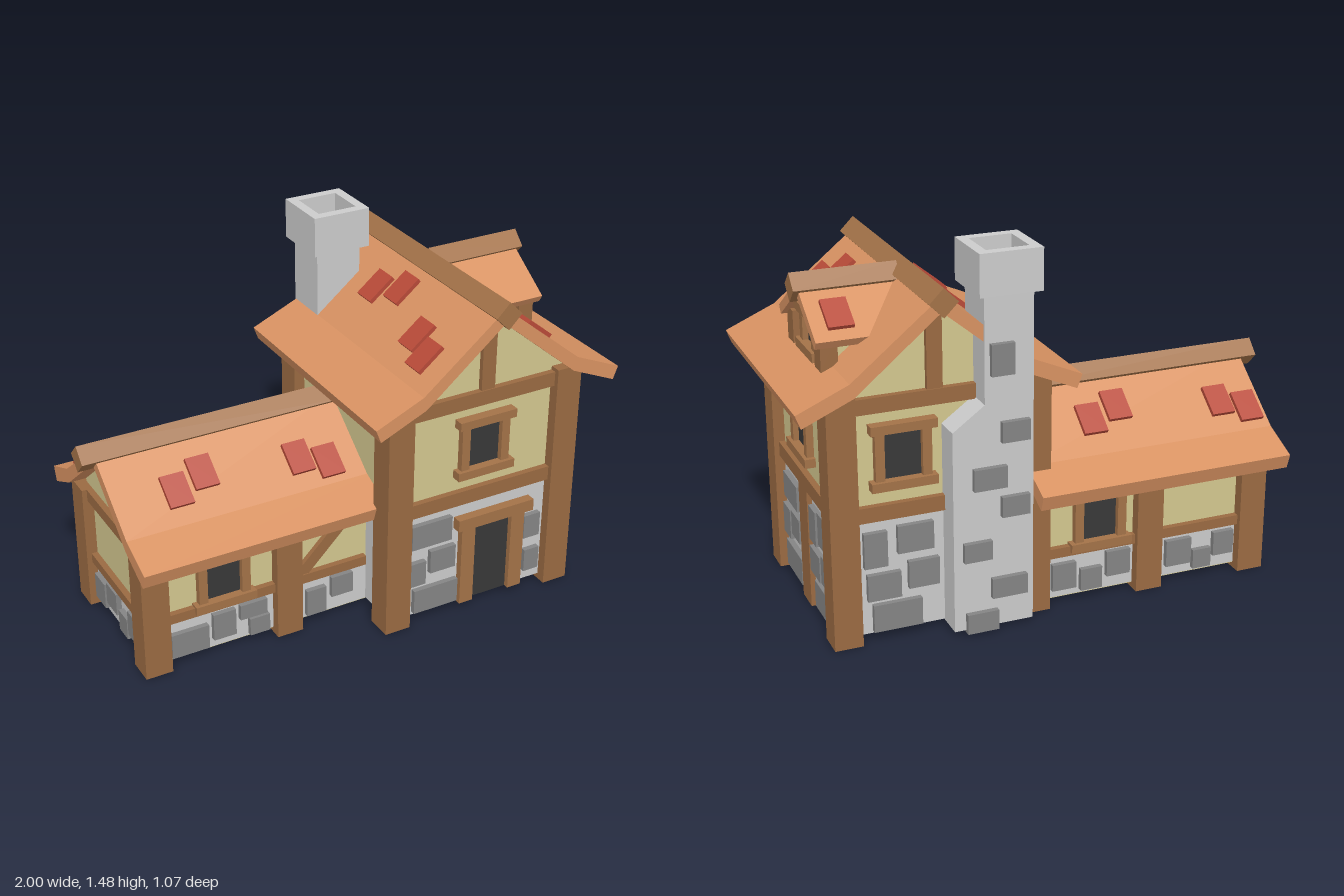
import * as THREE from 'three';

const mat = (color) => new THREE.MeshStandardMaterial({ color, flatShading: true });
const wood = mat(0x9a6a42), frameWood = mat(0xa37248), roofMat = mat(0xd89262), tileMat = mat(0xb84a38);
const plaster = mat(0xd3c78f), stone = mat(0xc8c8c8), darkStone = mat(0x848484), glass = mat(0x383838);

function add(parent, name, geometry, material) {
  const mesh = new THREE.Mesh(geometry, material);
  mesh.name = name;
  parent.add(mesh);
  return mesh;
}

// Box given by its limits on each axis
function box(parent, name, material, x0, x1, y0, y1, z0, z1) {
  const m = add(parent, name, new THREE.BoxGeometry(x1 - x0, y1 - y0, z1 - z0), material);
  m.position.set((x0 + x1) / 2, (y0 + y1) / 2, (z0 + z1) / 2);
  return m;
}

// Polygon in x/y extruded from z0 to z1
function prism(parent, name, material, pts, z0, z1) {
  const shape = new THREE.Shape(pts.map(([x, y]) => new THREE.Vector2(x, y)));
  const g = new THREE.ExtrudeGeometry(shape, { depth: z1 - z0, bevelEnabled: false });
  return add(parent, name, g.translate(0, 0, z0), material);
}

function group(parent, name, rotY = 0, x = 0, z = 0) {
  const g = new THREE.Group();
  g.name = name;
  g.rotation.y = rotY;
  g.position.set(x, 0, z);
  parent.add(g);
  return g;
}

// Framed window: u is the centre, y0..y1 the opening, d the wall's outward distance
function windowAt(side, u, y0, y1, d, half = 0.072) {
  const w = group(side, 'window');
  box(w, 'windowPane', glass, u - half, u + half, y0, y1, d - 0.02, d + 0.006);
  for (const s of [-1, 1]) {
    const c = u + s * (half + 0.018);
    box(w, 'windowJamb', frameWood, c - 0.018, c + 0.018, y0, y1, d - 0.02, d + 0.028);
  }
  for (const y of [y0 - 0.035, y1])
    box(w, 'windowRail', frameWood, u - half - 0.055, u + half + 0.055, y, y + 0.035, d - 0.02, d + 0.042);
}

// Deep stones set into a wall, each [u0, u1, y0, y1]
function stones(side, d, list) {
  for (const [a, b, y0, y1] of list) box(side, 'wallStone', darkStone, Math.min(a, b), Math.max(a, b), y0, y1, d - 0.09, d + 0.022);
}

// Gable roof along local z: top and under are half profiles from ridge to eave
function roof(parent, name, top, under, z0, z1, beam0, beam1, beamY) {
  const flip = ([x, y]) => [-x, y];
  const pts = [...[...top].reverse(), ...top.slice(1).map(flip),
    ...[...under].reverse().map(flip), ...under.slice(1)];
  prism(parent, name, roofMat, pts, z0, z1);
  const b = box(parent, 'ridgeBeam', frameWood, -0.039, 0.039, beamY - 0.039, beamY + 0.039, beam0, beam1);
  b.rotation.z = Math.PI / 4;
}

// Loose tiles lying on the upper slope, each [across, along]
function tiles(parent, top, list) {
  const slope = (top[0][1] - top[1][1]) / top[1][0];
  for (const [x, z] of list) {
    const t = add(parent, 'roofTile', new THREE.BoxGeometry(0.13, 0.03, 0.097), tileMat);
    t.position.set(x, top[0][1] - slope * Math.abs(x) + 0.002, z);
    t.rotation.z = -Math.sign(x) * Math.atan(slope);
  }
}

function createTower(root) {
  const t = group(root, 'tower');
  prism(t, 'plasterWalls', plaster, [[0.065, 0.18], [0.835, 0.18], [0.835, 0.98], [0.795, 1.02], [0.465, 1.3], [0.135, 1.02], [0.065, 0.98]], -0.365, 0.405);
  for (const x of [0.02, 0.77]) for (const z of [-0.41, 0.34])
    box(t, 'cornerPost', wood, x, x + 0.11, 0, 0.98, z, z + 0.11);
  box(t, 'sidePost', wood, 0.75, 0.86, 0, 0.49, -0.035, 0.075);

  const front = group(t, 'towerFront'), back = group(t, 'towerBack', Math.PI);
  const right = group(t, 'towerLeftSide', Math.PI / 2), left = group(t, 'towerRightSide', -Math.PI / 2);
  for (const [s, a, b, d] of [[front, 0.12, 0.78, 0.405], [back, -0.78, -0.12, 0.365], [right, -0.35, 0.31, 0.835], [left, -0.31, 0.35, -0.065]]) {
    box(s, 'stonePanel', stone, a, b, 0.025, 0.49, d - 0.03, d + 0.004);
    box(s, 'middleBeam', wood, a, b, 0.485, 0.545, d - 0.03, d + 0.025);
    box(s, 'upperBeam', wood, a, b, 0.905, 0.965, d - 0.03, d + 0.025);
  }
  box(front, 'gablePost', wood, 0.435, 0.495, 0.96, 1.28, 0.385, 0.425);
  box(back, 'gablePost', wood, -0.495, -0.435, 0.96, 1.28, 0.345, 0.385);
  windowAt(front, 0.4625, 0.64, 0.825, 0.405);
  windowAt(back, -0.59, 0.64, 0.825, 0.365);
  windowAt(right, -0.03, 0.64, 0.82, 0.835);

  // Door
  box(front, 'door', glass, 0.43, 0.6, 0.025, 0.375, 0.36, 0.416);
  for (const x of [0.368, 0.6]) box(front, 'doorJamb', frameWood, x, x + 0.062, 0.025, 0.375, 0.36, 0.438);
  box(front, 'doorLintel', frameWood, 0.345, 0.695, 0.375, 0.425, 0.36, 0.449);

  stones(front, 0.409, [[0.145, 0.325, 0.34, 0.445], [0.23, 0.345, 0.21, 0.31], [0.14, 0.21, 0.17, 0.275],
    [0.16, 0.36, 0.04, 0.145], [0.67, 0.745, 0.235, 0.34], [0.68, 0.75, 0.075, 0.175]]);
  stones(right, 0.839, [[-0.295, -0.11, 0.335, 0.44], [-0.32, -0.225, 0.17, 0.295], [-0.205, -0.095, 0.205, 0.305],
    [-0.295, -0.08, 0.035, 0.145], [0.055, 0.14, 0.3, 0.44], [0.17, 0.27, 0.325, 0.455],
    [0.05, 0.175, 0.165, 0.27], [0.195, 0.29, 0.175, 0.29], [0.1, 0.28, 0.035, 0.145]]);
  stones(back, 0.369, [[-0.75, -0.66, 0.3, 0.44], [-0.62, -0.48, 0.34, 0.45], [-0.74, -0.61, 0.165, 0.27],
    [-0.58, -0.46, 0.19, 0.3], [-0.72, -0.53, 0.035, 0.145]]);

  const r = group(t, 'towerRoof', 0, 0.464);
  const top = [[0, 1.335], [0.342, 1.058], [0.54, 0.972]];
  roof(r, 'roofSlab', top, [[0, 1.275], [0.328, 1.003], [0.52, 0.919]], -0.468, 0.515, -0.49, 0.538, 1.315);
  tiles(r, top, [[-0.165, -0.13], [-0.125, -0.003], [-0.21, 0.253], [-0.247, 0.365], [0.133, 0.297], [0.197, 0.407]]);
}

function createDormer(root) {
  const d = group(root, 'dormer', Math.PI / 2, 0, -0.061);
  prism(d, 'dormerWalls', plaster, [[-0.18, 1.02], [0.18, 1.02], [0.18, 1.165], [0, 1.285], [-0.18, 1.165]], 0.55, 0.81);
  for (const s of [-1, 1]) box(d, 'dormerPost', wood, s * 0.173 - 0.037, s * 0.173 + 0.037, 1.04, 1.165, 0.785, 0.85);
  windowAt(d, 0, 1.077, 1.187, 0.81, 0.053);
  const top = [[0, 1.32], [0.239, 1.162]];
  roof(d, 'dormerRoof', top, [[0, 1.275], [0.22, 1.132]], 0.49, 0.872, 0.49, 0.895, 1.3);
  tiles(d, top, [[0.145, 0.765]]);
}

function createWing(root) {
  const w = group(root, 'wing');
  const shell = group(w, 'wingShell', Math.PI / 2, 0, -0.075);
  prism(shell, 'plasterWalls', plaster, [[-0.29, 0.02], [0.29, 0.02], [0.29, 0.55], [0, 0.8], [-0.29, 0.55]], -0.87, 0.2);
  box(w, 'stoneBase', stone, -0.874, 0.06, 0.025, 0.21, -0.369, 0.219);
  for (const z of [-0.41, 0.15]) {
    box(w, 'cornerPost', wood, -0.915, -0.805, 0, 0.535, z, z + 0.11);
    const x = z > 0 ? -0.355 : -0.46;
    box(w, 'middlePost', wood, x, x + 0.11, 0, 0.535, z, z + 0.11);
  }
  const front = group(w, 'wingFront'), back = group(w, 'wingBack', Math.PI), end = group(w, 'wingEnd', -Math.PI / 2);
  for (const [s, a, b, d] of [[front, -0.85, 0.05, 0.215], [back, -0.05, 0.85, 0.365], [end, -0.34, 0.2, 0.87]]) {
    box(s, 'lowerBeam', wood, a, b, 0.2, 0.24, d - 0.02, d + 0.025);
    box(s, 'upperBeam', wood, a, b, 0.485, 0.535, d - 0.02, d + 0.025);
  }
  windowAt(front, -0.568, 0.25, 0.43, 0.215);
  windowAt(back, 0.2, 0.25, 0.43, 0.365);
  const brace = box(front, 'brace', wood, -0.3, 0.08, 0.345, 0.395, 0.195, 0.235);
  brace.rotation.z = Math.PI / 4;

  stones(front, 0.219, [[-0.795, -0.64, 0.04, 0.145], [-0.62, -0.525, 0.065, 0.18], [-0.505, -0.39, 0.12, 0.185],
    [-0.465, -0.38, 0.035, 0.11], [-0.215, -0.13, 0.04, 0.155], [-0.105, -0.01, 0.095, 0.185]]);
  stones(back, 0.369, [[0.0, 0.1, 0.06, 0.17], [0.12, 0.21, 0.04, 0.13], [0.23, 0.33, 0.08, 0.185],
    [0.49, 0.6, 0.07, 0.18], [0.61, 0.69, 0.04, 0.12], [0.7, 0.79, 0.08, 0.18]]);
  stones(end, 0.874, [[-0.28, -0.18, 0.05, 0.16], [-0.16, -0.06, 0.09, 0.185], [-0.04, 0.04, 0.04, 0.13], [0.05, 0.14, 0.07, 0.18]]);

  const r = group(w, 'wingRoof', Math.PI / 2, 0, -0.085);
  const top = [[0, 0.83], [0.297, 0.6], [0.45, 0.535]];
  roof(r, 'roofSlab', top, [[0, 0.775], [0.283, 0.545], [0.43, 0.475]], -0.94, 0.105, -1, 0.1, 0.81);
  tiles(r, top, [[-0.19, -0.69], [-0.155, -0.57], [-0.19, -0.18], [-0.225, -0.07],
    [0.217, -0.87], [0.182, -0.76], [0.142, -0.33], [0.177, -0.21]]);
}

function createChimney(root) {
  const c = group(root, 'chimney');
  prism(c, 'chimneyShaft', stone, [[0.12, 0.02], [0.435, 0.02], [0.435, 0.82], [0.31, 0.91], [0.31, 1.36], [0.12, 1.36]], -0.475, -0.288);
  // Hollow cap
  const square = (h) => [[-h, -h], [h, -h], [h, h], [-h, h]].map(([x, y]) => new THREE.Vector2(x, y));
  const shape = new THREE.Shape(square(0.121));
  shape.holes.push(new THREE.Path(square(0.082)));
  const cap = add(c, 'chimneyCap', new THREE.ExtrudeGeometry(shape, { depth: 0.16, bevelEnabled: false }), stone);
  cap.rotation.x = -Math.PI / 2;
  cap.position.set(0.217, 1.32, -0.384);
  const back = group(c, 'chimneyBack', Math.PI);
  stones(back, 0.475, [[-0.29, -0.2, 1.02, 1.14], [-0.25, -0.14, 0.76, 0.84], [-0.36, -0.23, 0.585, 0.67],
    [-0.25, -0.14, 0.465, 0.545], [-0.4, -0.29, 0.305, 0.38], [-0.29, -0.15, 0.14, 0.22], [-0.39, -0.265, 0.01, 0.09]]);
}

export function createModel() {
  const root = new THREE.Group();
  root.name = 'house';
  createTower(root);
  createDormer(root);
  createWing(root);
  createChimney(root);
  return root;
}
